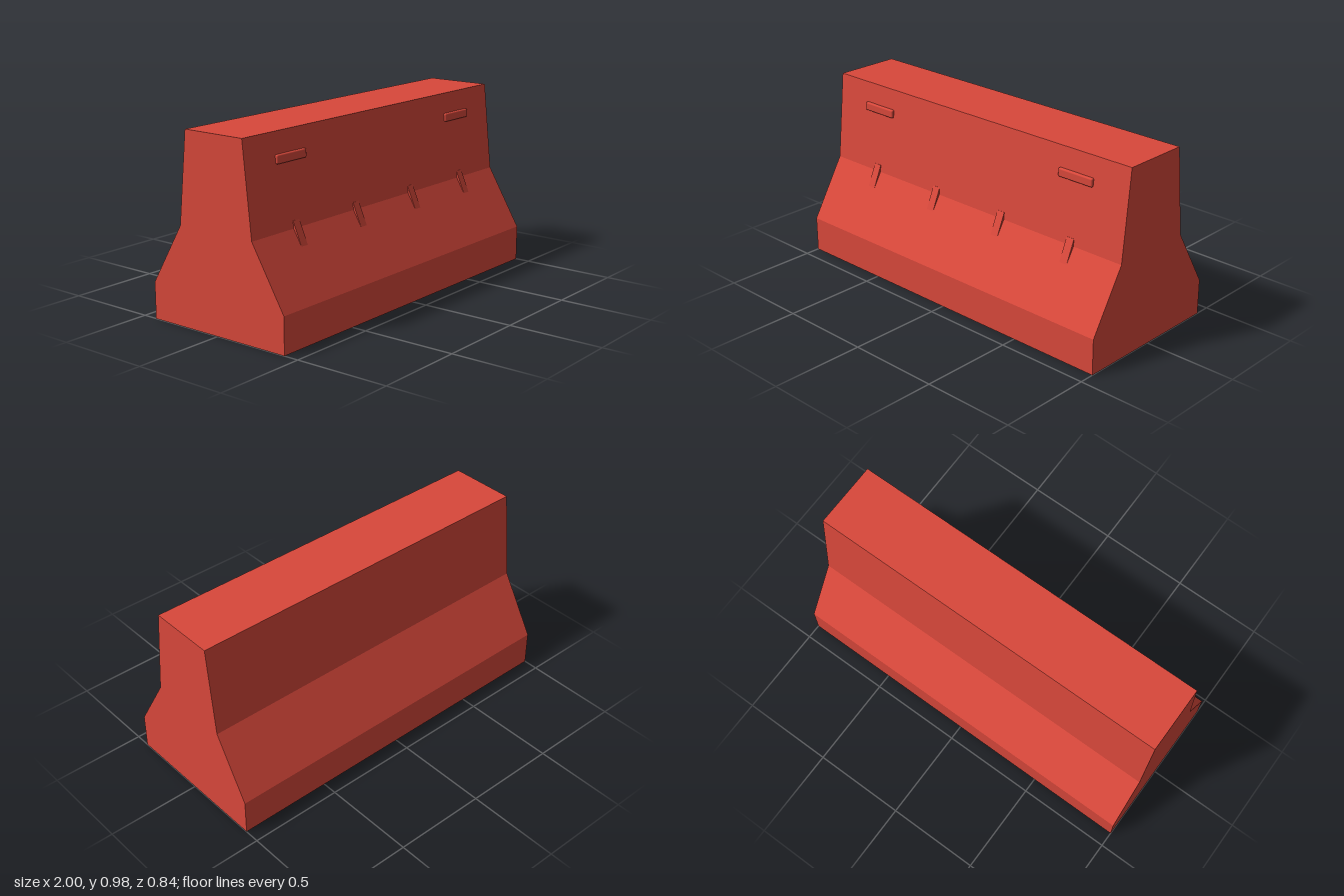
import * as THREE from 'three';
import { RoundedBoxGeometry } from 'three/addons/geometries/RoundedBoxGeometry.js';

// Extrude a (z, y) outline along x, centred on x = 0
function prism(points, width) {
  const shape = new THREE.Shape(points.map(([z, y]) => new THREE.Vector2(z, y)));
  const geometry = new THREE.ExtrudeGeometry(shape, { depth: width, bevelEnabled: false });
  geometry.translate(0, 0, -width / 2);
  geometry.rotateY(-Math.PI / 2);
  return geometry;
}

export function createModel() {
  const group = new THREE.Group();
  const red = new THREE.MeshStandardMaterial({ color: 0xd9483b });
  red.name = 'barrierRed';

  const add = (name, geometry, x = 0, y = 0, z = 0) => {
    const mesh = new THREE.Mesh(geometry, red);
    mesh.name = name;
    mesh.position.set(x, y, z);
    group.add(mesh);
  };

  // Barrier body: upright foot, sloped flank, steep wall, flat top
  const side = [[0.42, 0], [0.42, 0.19], [0.23, 0.507], [0.18, 0.98]];
  const mirrored = side.map(([z, y]) => [-z, y]).reverse();
  add('barrierBody', prism([...side, ...mirrored], 2));

  // Small gusset ribs bridging the crease on the front
  const rib = prism([[0.2, 0.42], [0.281, 0.42], [0.227, 0.545], [0.2, 0.545]], 0.046);
  for (const x of [-0.685, -0.23, 0.23, 0.685]) add('gussetRib', rib, x);

  // Raised rounded pads high on the front
  const pad = new RoundedBoxGeometry(0.21, 0.045, 0.04, 3, 0.008);
  for (const s of [-1, 1]) add('raisedPad', pad, s * 0.685, 0.849, 0.187);

  return group;
}
